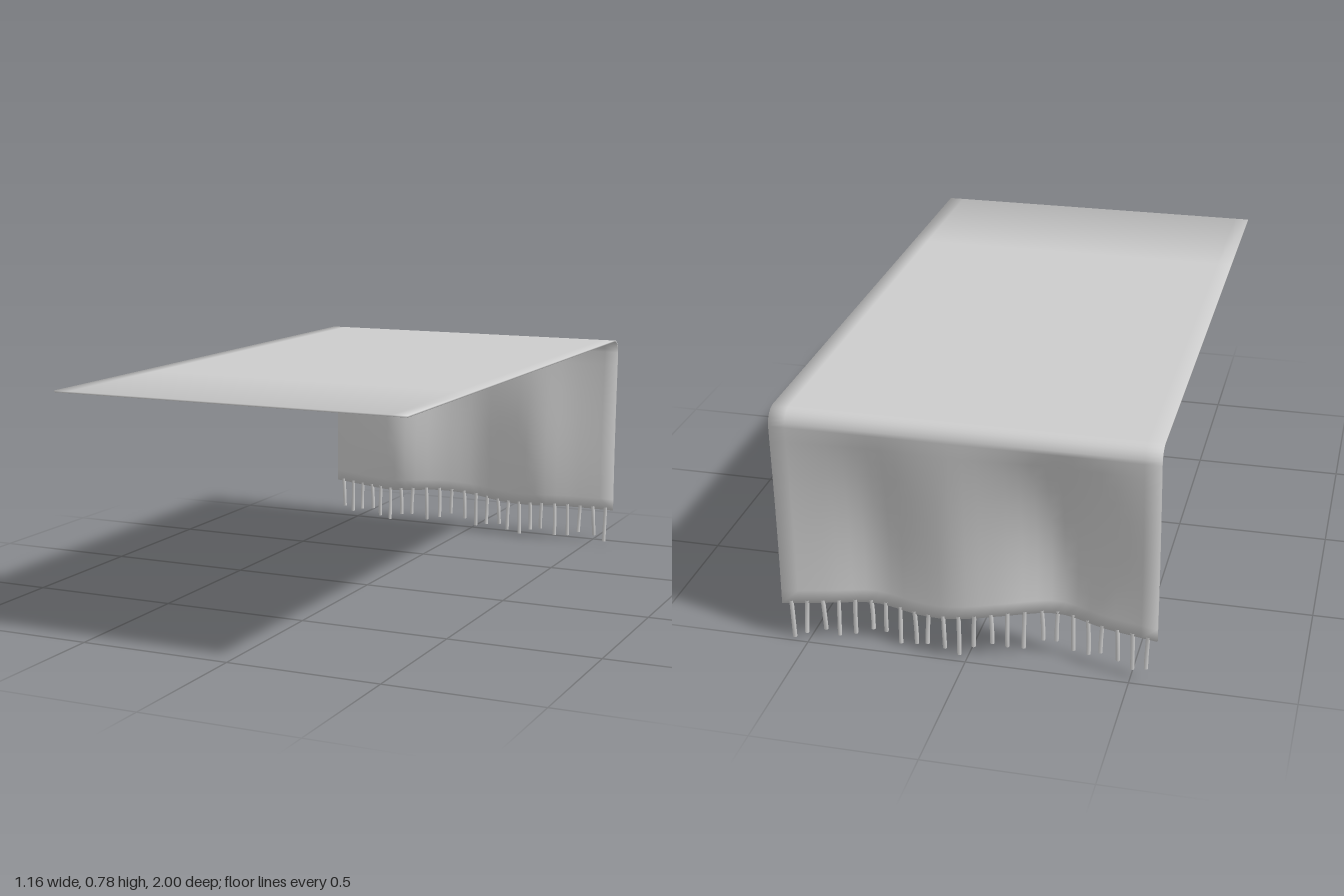
import * as THREE from 'three';

const TOP = 0.777, HALF = 0.58, BEND = 0.05, THICK = 0.005;

// Smooth curves across the width: hem height and depth of the folds
const spline = pts => new THREE.SplineCurve(pts.map(p => new THREE.Vector2(...p)));
const hemCurve = spline([[-0.58, 0.147], [-0.37, 0.142], [-0.15, 0.151], [0, 0.139], [0.15, 0.123], [0.35, 0.13], [0.58, 0.122]]);
const foldCurve = spline([[-0.58, 0.012], [-0.42, 0.06], [-0.27, 0.112], [-0.11, 0.05], [0.03, 0.02], [0.15, 0.04], [0.29, 0.072], [0.43, 0.04], [0.58, 0.012]]);
function heightAt(curve, x) {
  let lo = 0, hi = 1;
  for (let i = 0; i < 24; i++) {
    const mid = (lo + hi) / 2;
    if (curve.getPoint(mid).x < x) lo = mid; else hi = mid;
  }
  return curve.getPoint(lo).y;
}

// Point on the hanging part: t = 0 at the bend, t = 1 at the hem
function hangPoint(x, t) {
  const top = TOP - BEND, hem = heightAt(hemCurve, x);
  const fold = heightAt(foldCurve, x) * Math.sin(t * 2.05);
  return new THREE.Vector3(x, top + (hem - top) * t, -1 + fold);
}

// Thin closed sheet with softened edges
function clothGeometry() {
  const xs = [-HALF];
  for (let i = 0; i <= 26; i++) xs.push(-0.53 + 1.06 * i / 26);
  xs.push(HALF);
  const rows = [];
  for (const t of [1, 0.93, 0.84, 0.74, 0.64, 0.54, 0.44, 0.34, 0.25, 0.16, 0.08, 0]) {
    rows.push(x => hangPoint(x, t));
  }
  for (let i = 1; i <= 6; i++) {
    const a = i / 6 * Math.PI / 2;
    rows.push(x => new THREE.Vector3(x, TOP - BEND + BEND * Math.sin(a), -1 + BEND - BEND * Math.cos(a)));
  }
  for (const z of [-0.88, -0.5, 0, 0.5, 1]) rows.push(x => new THREE.Vector3(x, TOP, z));

  const nc = xs.length, nr = rows.length, n = nc * nr;
  const grid = new THREE.PlaneGeometry(1, 1, nc - 1, nr - 1);
  const gp = grid.attributes.position;
  rows.forEach((row, r) => xs.forEach((x, c) => gp.setXYZ(r * nc + c, ...row(x))));
  grid.computeVertexNormals();

  const outer = [], inner = [], outerN = [], innerN = [];
  for (let i = 0; i < n; i++) {
    const r = Math.floor(i / nc), c = i % nc;
    const p = new THREE.Vector3().fromBufferAttribute(gp, i);
    const normal = new THREE.Vector3().fromBufferAttribute(grid.attributes.normal, i);
    const out = new THREE.Vector3(
      c === 0 ? -1 : c === nc - 1 ? 1 : 0, r === 0 ? -1 : 0, r === nr - 1 ? 1 : 0);
    outer.push(...p.toArray());
    inner.push(...p.clone().addScaledVector(normal, -THICK).toArray());
    outerN.push(...normal.clone().add(out).normalize().toArray());
    innerN.push(...out.sub(normal).normalize().toArray());
  }

  const index = [...grid.index.array];
  const faces = index.length;
  for (let i = 0; i < faces; i += 3) index.push(index[i] + n, index[i + 2] + n, index[i + 1] + n);
  // Rim around the border
  const rim = [];
  for (let c = 0; c < nc - 1; c++) rim.push(c);
  for (let r = 0; r < nr - 1; r++) rim.push(r * nc + nc - 1);
  for (let c = nc - 1; c > 0; c--) rim.push((nr - 1) * nc + c);
  for (let r = nr - 1; r > 0; r--) rim.push(r * nc);
  rim.forEach((a, i) => {
    const b = rim[(i + 1) % rim.length];
    index.push(a, b, b + n, a, b + n, a + n);
  });

  const geo = new THREE.BufferGeometry();
  geo.setAttribute('position', new THREE.Float32BufferAttribute([...outer, ...inner], 3));
  geo.setAttribute('normal', new THREE.Float32BufferAttribute([...outerN, ...innerN], 3));
  geo.setIndex(index);
  return geo;
}

export function createModel() {
  const group = new THREE.Group();
  group.name = 'fringedCloth';
  const fabric = new THREE.MeshStandardMaterial({ color: 0xcccccc, side: THREE.DoubleSide });
  fabric.name = 'greyFabric';

  const cloth = new THREE.Mesh(clothGeometry(), fabric);
  cloth.name = 'cloth';
  group.add(cloth);

  // Fringe strands along the hem, each with its own length and a slight bend
  const fringe = new THREE.Group();
  fringe.name = 'fringe';
  const ends = [0.043, 0.028, 0.044, 0.053, 0.031, 0.025, 0.05, 0.053, 0.031, 0.04, 0.056, 0.04,
    0.013, 0.025, 0.031, 0.015, 0.006, 0.03, 0.037, 0.015, 0.015, 0.031, 0.021, 0];
  ends.forEach((end, i) => {
    const x = -0.552 + 1.104 * i / (ends.length - 1);
    const top = hangPoint(x, 0.985);
    top.z += THICK / 2;
    const lean = 0.005 * Math.sin(i * 2.3 + 1);
    const path = new THREE.QuadraticBezierCurve3(
      top,
      new THREE.Vector3(x + lean, (top.y + end) / 2, top.z + 0.004 * Math.cos(i * 1.7)),
      new THREE.Vector3(x + lean, end, top.z + 0.006 * Math.sin(i * 3.1)));
    const strand = new THREE.Mesh(new THREE.TubeGeometry(path, 5, 0.0068, 6), fabric);
    strand.name = 'strand';
    fringe.add(strand);
  });
  group.add(fringe);
  return group;
}
